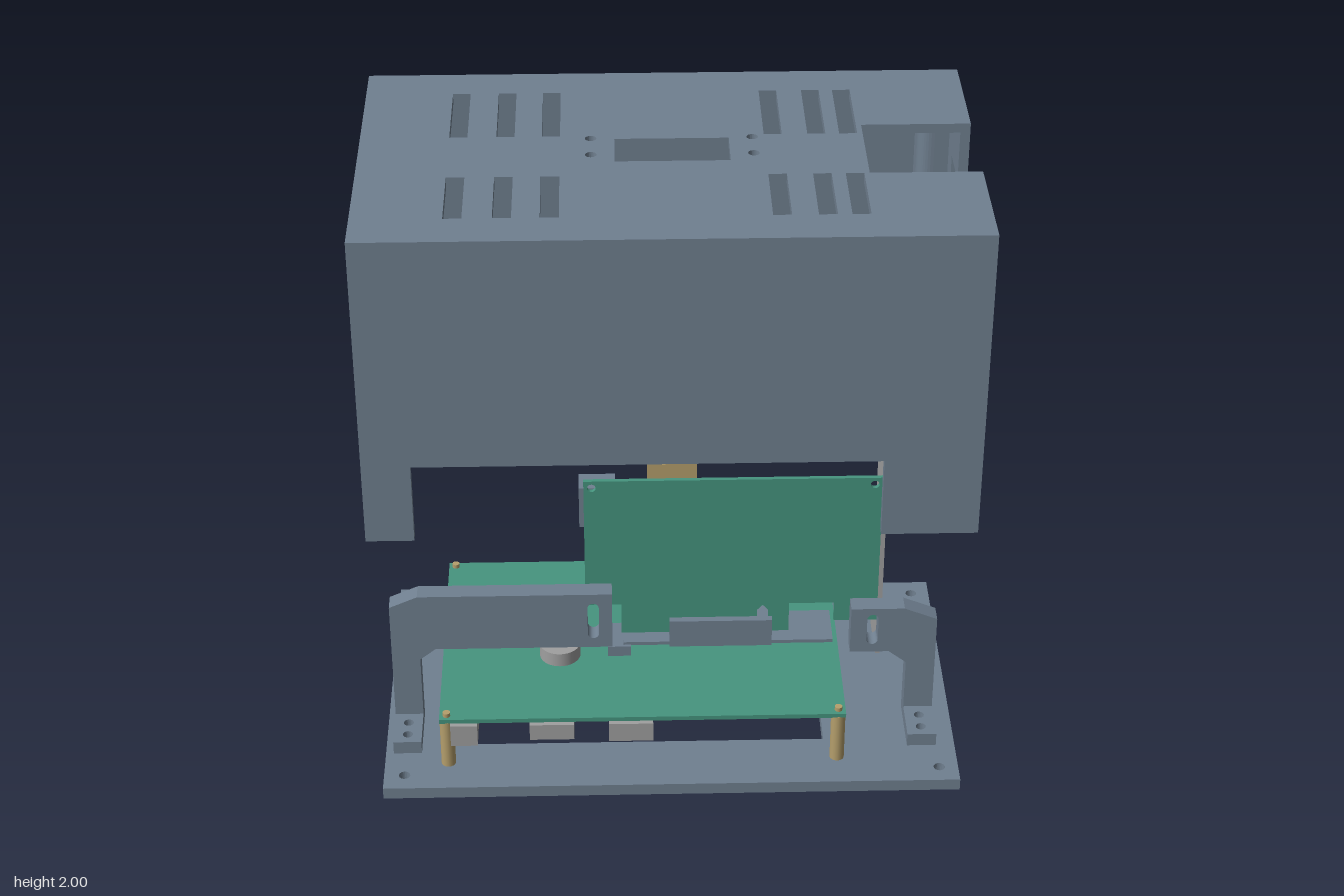
import * as THREE from 'three';

const mat = (name, color) => {
  const m = new THREE.MeshStandardMaterial({ color });
  m.name = name;
  return m;
};

export function createModel() {
  const slate = mat('slate plastic', 0x708090);
  const green = mat('board green', 0x46957f);
  const grey = mat('metal grey', 0xa0a0a0);
  const brass = mat('brass', 0xb59f6c);
  const model = new THREE.Group();

  const add = (parent, name, geo, material) => {
    const mesh = new THREE.Mesh(geo, material);
    mesh.name = name;
    parent.add(mesh);
    return mesh;
  };
  const group = (name) => {
    const g = new THREE.Group();
    g.name = name;
    model.add(g);
    return g;
  };
  // Box from its limits
  const box = (parent, name, m, x0, x1, y0, y1, z0, z1) => {
    const geo = new THREE.BoxGeometry(x1 - x0, y1 - y0, z1 - z0);
    geo.translate((x0 + x1) / 2, (y0 + y1) / 2, (z0 + z1) / 2);
    return add(parent, name, geo, m);
  };
  // Outlines and holes
  const poly = (pts) => new THREE.Shape(pts.map(([a, b]) => new THREE.Vector2(a, b)));
  const rect = (a0, a1, b0, b1) => poly([[a0, b0], [a1, b0], [a1, b1], [a0, b1]]);
  const hole = (a, b, r) => new THREE.Path().absarc(a, b, r, 0, Math.PI * 2);
  const pill = (a, b0, b1, r) => {
    const p = new THREE.Path();
    p.absarc(a, b1 - r, r, 0, Math.PI);
    p.absarc(a, b0 + r, r, Math.PI, Math.PI * 2);
    p.closePath();
    return p;
  };
  const extrude = (shape, depth, holes = []) => {
    shape.holes.push(...holes);
    return new THREE.ExtrudeGeometry(shape, { depth, bevelEnabled: false, curveSegments: 10 });
  };
  // Flat plate drawn in x,z; upright plates drawn in x,y and in z,y
  const flat = (shape, y0, y1, holes) => extrude(shape, y1 - y0, holes).rotateX(Math.PI / 2).translate(0, y1, 0);
  const upright = (shape, z0, z1, holes) => extrude(shape, z1 - z0, holes).translate(0, 0, z0);
  const side = (shape, x0, x1, holes) => extrude(shape, x1 - x0, holes).rotateY(-Math.PI / 2).translate(x1, 0, 0);

  // Base plate with a large window, screw holes and slots
  const baseHoles = [rect(-0.65, 0.49, -0.34, 0.32)];
  for (const x of [-0.85, 0.85]) for (const z of [-0.47, 0.47]) baseHoles.push(hole(x, z, 0.018));
  for (const x of [-0.845, 0.8]) for (const z of [0.25, 0.31]) baseHoles.push(rect(x - 0.035, x + 0.035, z - 0.01, z + 0.01));
  add(model, 'basePlate', flat(rect(-0.915, 0.91, -0.535, 0.535), 0, 0.04, baseHoles), slate);

  // Raised cover: vented roof, long walls, end walls, corner posts
  const cover = group('cover');
  const vents = [rect(-0.16, 0.18, -0.085, 0.06)];
  for (const x of [-0.65, -0.51, -0.375, 0.285, 0.415, 0.51])
    for (const [z0, z1] of [[-0.4, -0.105], [0.15, 0.4]]) vents.push(rect(x, x + 0.054, z0, z1));
  for (const x of [-0.23, 0.25]) for (const z of [-0.09, 0.015]) vents.push(hole(x, z, 0.017));
  add(cover, 'roof', flat(poly([[-0.915, -0.535], [0.91, -0.535], [0.91, -0.16], [0.58, -0.16],
    [0.58, 0.15], [0.91, 0.15], [0.91, 0.535], [-0.915, 0.535]]), 1.97, 2, vents), slate);
  for (const z of [-0.535, 0.505]) {
    add(cover, 'longWall', upright(poly([[-0.915, 0.99], [-0.77, 0.99], [-0.77, 1.25], [0.62, 1.25],
      [0.62, 0.99], [0.91, 0.99], [0.91, 2], [-0.915, 2]]), z, z + 0.03), slate);
  }
  add(cover, 'notchedEndWall', side(poly([[-0.535, 0.99], [-0.32, 0.99], [-0.32, 1.81], [-0.16, 1.81], [-0.16, 2],
    [-0.535, 2]]), 0.88, 0.91), slate);
  add(cover, 'notchedEndWall', side(poly([[0.535, 0.99], [0.38, 0.99], [0.38, 1.81], [0.15, 1.81], [0.15, 2],
    [0.535, 2]]), 0.88, 0.91), slate);
  add(cover, 'openEndWall', side(poly([[-0.535, 0.99], [-0.38, 0.99], [-0.38, 1.885], [0.38, 1.885], [0.38, 0.99],
    [0.535, 0.99], [0.535, 2], [-0.535, 2]]), -0.915, -0.885), slate);
  for (const sx of [-1, 1]) for (const sz of [-1, 1]) {
    const s = new THREE.Shape();
    s.moveTo(0.9 * sx, 0.52 * sz);
    s.lineTo(0.785 * sx, 0.52 * sz);
    s.lineTo(0.785 * sx, 0.45 * sz);
    s.quadraticCurveTo(0.785 * sx, 0.4 * sz, 0.835 * sx, 0.4 * sz);
    s.lineTo(0.9 * sx, 0.4 * sz);
    s.closePath();
    add(cover, 'cornerPost', flat(s, 0.99, 1.975, [hole(0.845 * sx, 0.465 * sz, 0.02)]), slate);
  }

  // Support brackets with slotted arms and feet
  const brackets = group('brackets');
  add(brackets, 'tallBracket', upright(poly([[-0.89, 0.04], [-0.8, 0.04], [-0.8, 0.305], [-0.75, 0.345],
    [-0.185, 0.345], [-0.185, 0.55], [-0.8, 0.55], [-0.89, 0.51]]), 0.155, 0.215, [pill(-0.245, 0.38, 0.515, 0.018)]), slate);
  add(brackets, 'shortBracket', upright(poly([[0.85, 0.04], [0.85, 0.435], [0.745, 0.478], [0.575, 0.478],
    [0.575, 0.31], [0.7, 0.31], [0.757, 0.265], [0.757, 0.04]]), 0.155, 0.215, [pill(0.645, 0.34, 0.455, 0.018)]), slate);
  for (const [x0, x1] of [[-0.89, -0.8], [0.757, 0.85]]) {
    const x = (x0 + x1) / 2;
    add(brackets, 'bracketFoot', flat(rect(x0, x1, 0.2, 0.36), 0.04, 0.085,
      [hole(x, 0.26, 0.016), hole(x, 0.32, 0.016)]), slate);
  }

  // Lower board on brass standoffs
  const lower = group('lowerBoard');
  box(lower, 'board', green, -0.735, 0.55, 0.213, 0.228, -0.425, 0.43);
  for (const x of [-0.712, 0.527]) for (const z of [-0.403, 0.408]) {
    add(lower, 'standoff', new THREE.CylinderGeometry(0.023, 0.023, 0.175, 16).translate(x, 0.1275, z), brass);
    add(lower, 'standoffTip', new THREE.CylinderGeometry(0.012, 0.012, 0.02, 12).translate(x, 0.232, z), brass);
  }
  box(lower, 'undersideModule', slate, -0.46, 0.085, 0.115, 0.213, -0.16, 0.16);
  for (const [x0, x1, y0] of [[-0.7, -0.615, 0.135], [-0.45, -0.31, 0.155], [-0.2, -0.06, 0.145]])
    box(lower, 'frontPort', grey, x0, x1, y0, 0.213, 0.32, 0.445);
  for (const [x0, x1, y0] of [[-0.02, 0.085, 0.09], [0.165, 0.275, 0.09], [0.355, 0.49, 0.1]])
    box(lower, 'rearPort', grey, x0, x1, y0, 0.213, -0.45, -0.31);
  add(lower, 'roundComponent', new THREE.CylinderGeometry(0.066, 0.066, 0.05, 32).translate(-0.355, 0.251, 0.095), grey);

  // Socket that carries the upright board
  const socket = group('socket');
  box(socket, 'socketPlate', slate, -0.15, 0.53, 0.263, 0.275, -0.06, 0.1);
  box(socket, 'socketBody', slate, 0, 0.33, 0.27, 0.37, 0.04, 0.12);
  box(socket, 'socketPlug', slate, -0.2, -0.125, 0.228, 0.265, -0.02, 0.11);

  // Upright board with its modules on the rear face
  const upper = group('uprightBoard');
  add(upper, 'board', upright(poly([[-0.27, 0.9], [-0.27, 0.425], [-0.155, 0.425], [-0.155, 0.312], [0.282, 0.312],
    [0.282, 0.395], [0.3, 0.415], [0.318, 0.395], [0.318, 0.312], [0.385, 0.312], [0.385, 0.42], [0.53, 0.42],
    [0.53, 0.35], [0.67, 0.35], [0.67, 0.9]]), 0.083, 0.097,
  [hole(-0.245, 0.875, 0.014), hole(0.645, 0.875, 0.014), hole(-0.245, 0.45, 0.014), hole(0.645, 0.405, 0.014)]), green);
  box(upper, 'largeModule', slate, -0.105, 0.372, 0.445, 0.73, -0.02, 0.083);
  box(upper, 'metalModule', grey, 0.372, 0.66, 0.445, 0.73, -0.02, 0.083);
  box(upper, 'sideConnector', slate, -0.285, -0.17, 0.72, 0.865, 0, 0.083);
  box(upper, 'ribbonConnector', grey, -0.09, 0.105, 0.83, 0.87, 0.04, 0.083);

  // Folded ribbon cable
  const t = 0.006;
  const ribbon = [[-0.033, 1.14], [-0.033, 0.99], [0.056, 0.935], [0.056, 0.85]];
  const back = ribbon.map(([z, y]) => [z + t, y + t * 0.6]).reverse();
  add(upper, 'ribbonCable', side(poly([...ribbon, ...back]), -0.07, 0.087), brass);

  // Bent metal strip at the board's end
  const strip = group('metalStrip');
  box(strip, 'stripUpright', grey, 0.67, 0.685, 0.213, 1.07, -0.077, 0.095);
  box(strip, 'stripFlange', grey, 0.67, 0.778, 1.058, 1.07, -0.08, 0.09);

  return model;
}
